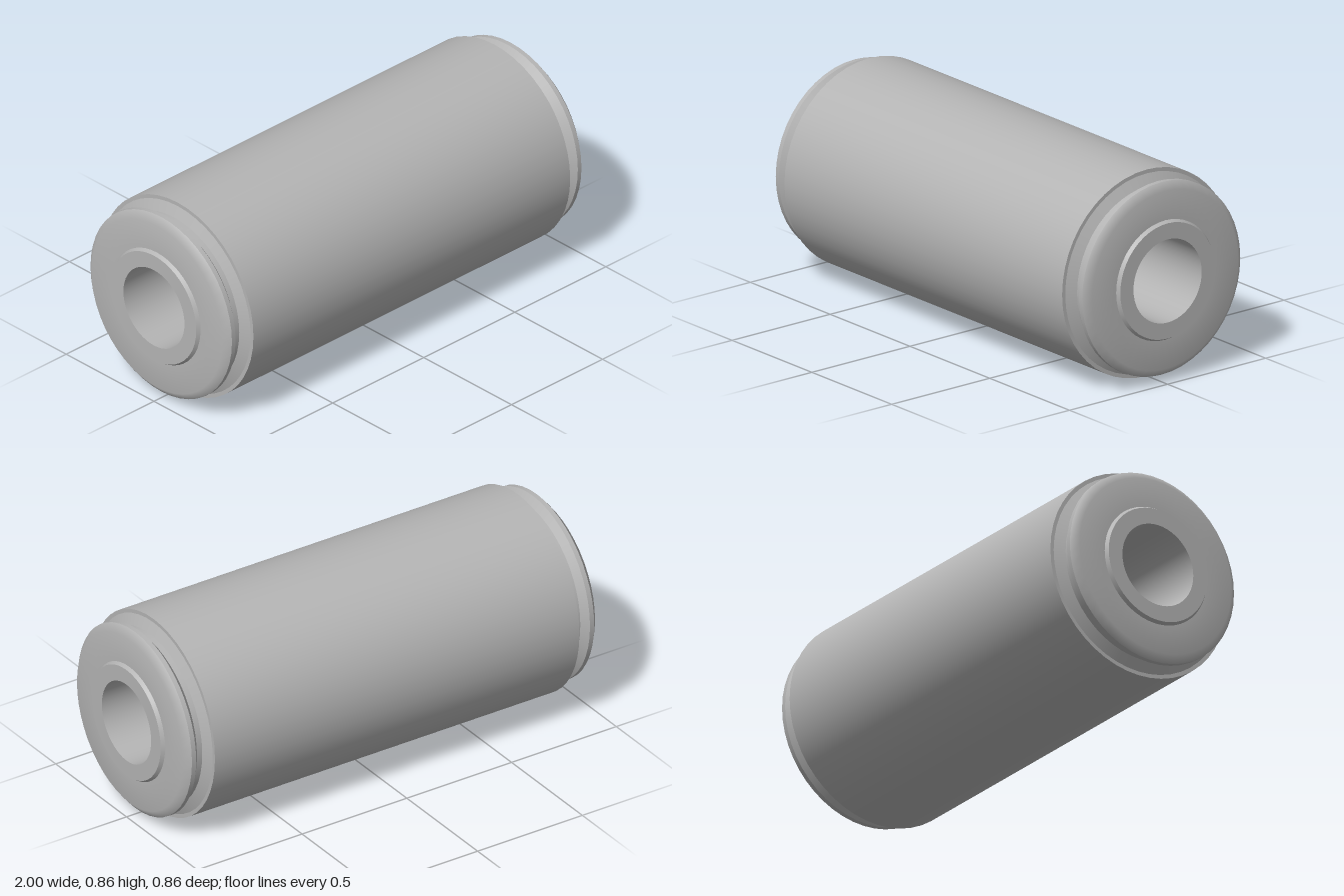
import * as THREE from 'three';

const SEGMENTS = 48;
const AXIS_HEIGHT = 0.433;

// Surface of revolution around the x axis; points are [x, radius]
function turned(name, points, material) {
  const profile = points.map(([x, r]) => new THREE.Vector2(r, x));
  const geometry = new THREE.LatheGeometry(profile, SEGMENTS);
  geometry.rotateZ(-Math.PI / 2);
  const mesh = new THREE.Mesh(geometry, material);
  mesh.name = name;
  return mesh;
}

export function createModel() {
  const steel = new THREE.MeshStandardMaterial({ color: 0xb4b4b4 });
  steel.name = 'steel grey';

  const model = new THREE.Group();
  model.name = 'roller';
  const body = new THREE.Group();
  body.name = 'rollerBody';
  body.position.y = AXIS_HEIGHT;
  model.add(body);

  // Outer sleeve and the bore running through the whole roller
  body.add(turned('sleeve', [[-0.87, 0.432], [0.87, 0.432]], steel));
  body.add(turned('bore', [[1, 0.174], [-1, 0.174]], steel));

  // Each end: separate smooth bands meeting at sharp edges
  const endBands = [
    ['sleeveRim', [[0.87, 0.432], [0.87, 0.416]]],
    ['grooveShoulder', [[0.87, 0.416], [0.89, 0.372]]],
    ['groove', [[0.89, 0.372], [0.915, 0.372]]],
    ['lipBackChamfer', [[0.915, 0.372], [0.94, 0.403]]],
    ['lip', [[0.94, 0.403], [0.96, 0.403]]],
    ['endFace', [[0.96, 0.403], [0.985, 0.372], [0.985, 0.25]]],
    ['hubChamfer', [[0.985, 0.25], [1, 0.241]]],
    ['hubFace', [[1, 0.241], [1, 0.174]]],
  ];
  for (const side of ['left', 'right']) {
    const end = new THREE.Group();
    end.name = side + 'End';
    for (const [name, points] of endBands) end.add(turned(name, points, steel));
    if (side === 'right') end.rotation.y = Math.PI;
    body.add(end);
  }
  return model;
}
